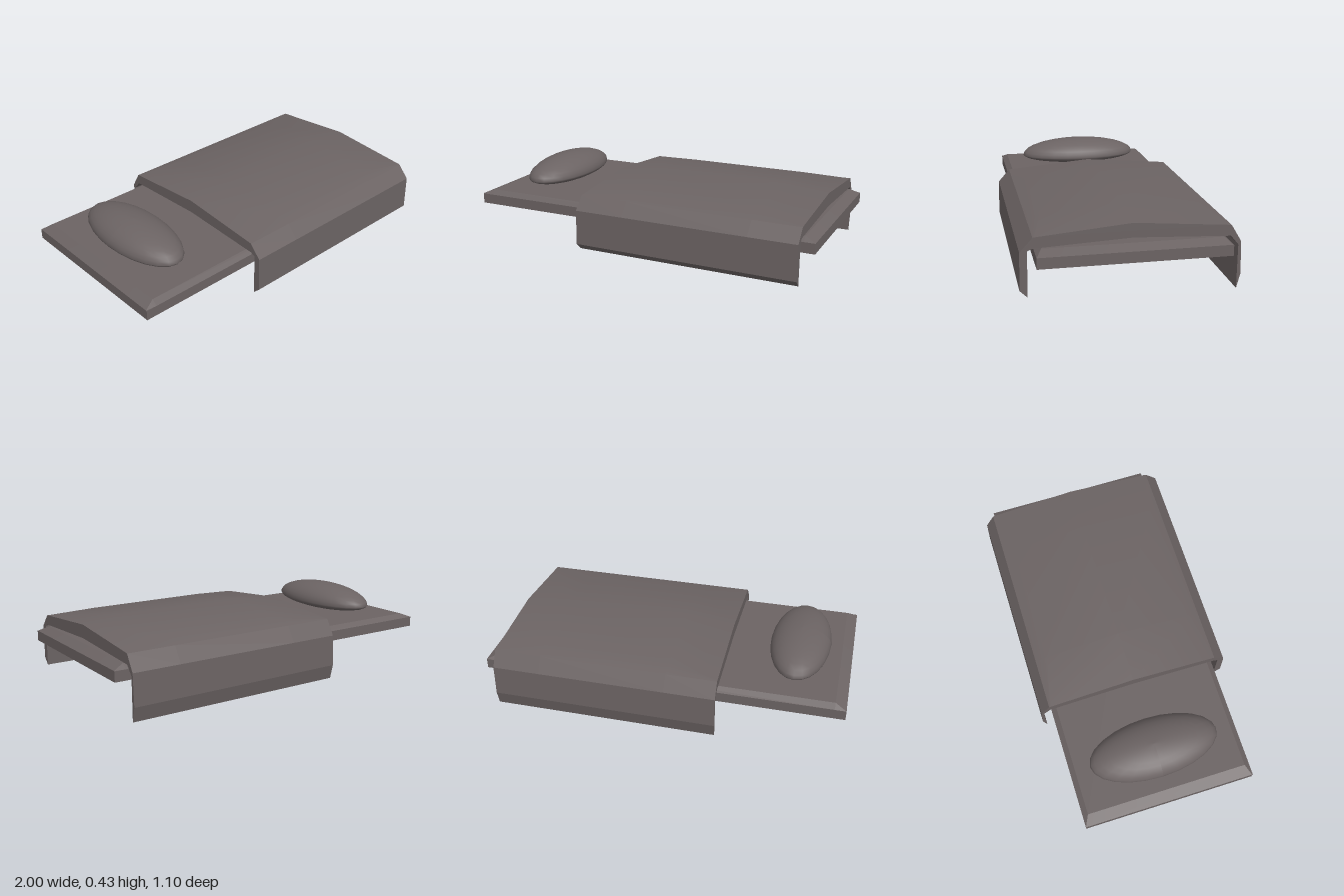
import * as THREE from 'three';
import { toCreasedNormals } from 'three/addons/utils/BufferGeometryUtils.js';

// Skin closed [z, y] cross-sections placed along x, and cap both ends.
// Each section runs from the front (+z) over the top to the back.
function loft(xs, sections) {
  const n = sections[0].length;
  const pos = [];
  const index = [];
  sections.forEach((sec, s) => sec.forEach(([z, y]) => pos.push(xs[s], y, z)));
  for (let s = 0; s < xs.length - 1; s++) {
    for (let i = 0; i < n; i++) {
      const j = (i + 1) % n;
      const a = s * n + i, b = s * n + j, c = a + n, d = b + n;
      index.push(a, c, b, b, c, d);
    }
  }
  const cap = (s, facingPlusX) => {
    const pts = sections[s].map(([z, y]) => new THREE.Vector2(z, y));
    for (const [a, b, c] of THREE.ShapeUtils.triangulateShape(pts, [])) {
      const ccw = THREE.ShapeUtils.area([pts[a], pts[b], pts[c]]) > 0;
      const t = ccw === facingPlusX ? [a, c, b] : [a, b, c];
      index.push(...t.map((k) => k + s * n));
    }
  };
  cap(0, false);
  cap(xs.length - 1, true);
  const geo = new THREE.BufferGeometry();
  geo.setAttribute('position', new THREE.Float32BufferAttribute(pos, 3));
  geo.setIndex(index);
  return toCreasedNormals(geo, 0.27);
}

export function createModel() {
  const group = new THREE.Group();
  const fabric = new THREE.MeshStandardMaterial({ color: 0x6b6363 });
  fabric.name = 'warm grey fabric';

  const add = (name, geo) => {
    const mesh = new THREE.Mesh(geo, fabric);
    mesh.name = name;
    group.add(mesh);
    return mesh;
  };

  // Mattress: flat slab with a bevelled top edge
  const slab = (zTop, yTop) => [
    [0.48, 0.2], [0.48, 0.256], [zTop, yTop], [-zTop, yTop], [-0.48, 0.256], [-0.48, 0.2],
  ];
  const slabEnd = slab(0.475, 0.257);
  const slabMid = slab(0.45, 0.28);
  const mattress = add('mattress', loft([-1, -0.94, 0.94, 1], [slabEnd, slabMid, slabMid, slabEnd]));
  mattress.position.z = -0.004;

  // Blanket: thick cover draped over both sides, crowned in the middle
  const cover = (zShoulder, yShoulder, yRidge) => [
    [0.515, 0.035], [0.553, 0.072], [0.549, 0.264], [0.485, 0.335],
    [zShoulder, yShoulder], [0, yRidge], [-zShoulder - 0.005, yShoulder],
    [-0.492, 0.335], [-0.543, 0.25], [-0.55, 0.08], [-0.53, 0.0],
    [-0.53, 0.232], [-0.49, 0.28], [0, 0.304], [0.485, 0.281], [0.512, 0.27],
  ];
  const coverEnd = cover(0.475, 0.337, 0.378);
  const coverMid = cover(0.42, 0.358, 0.402);
  add('blanket', loft([-0.32, -0.04, 0.67, 0.935], [coverEnd, coverMid, coverMid, coverEnd]));

  // Pillow: ellipsoid with a flattened underside
  const pillowGeo = new THREE.SphereGeometry(1, 24, 16);
  const p = pillowGeo.attributes.position;
  for (let i = 0; i < p.count; i++) {
    const y = p.getY(i);
    p.setXYZ(i, p.getX(i) * 0.168, y * (y > 0 ? 0.1 : 0.05), p.getZ(i) * 0.364);
  }
  pillowGeo.computeVertexNormals();
  const pillow = add('pillow', pillowGeo);
  pillow.position.set(-0.707, 0.33, -0.007);

  return group;
}
